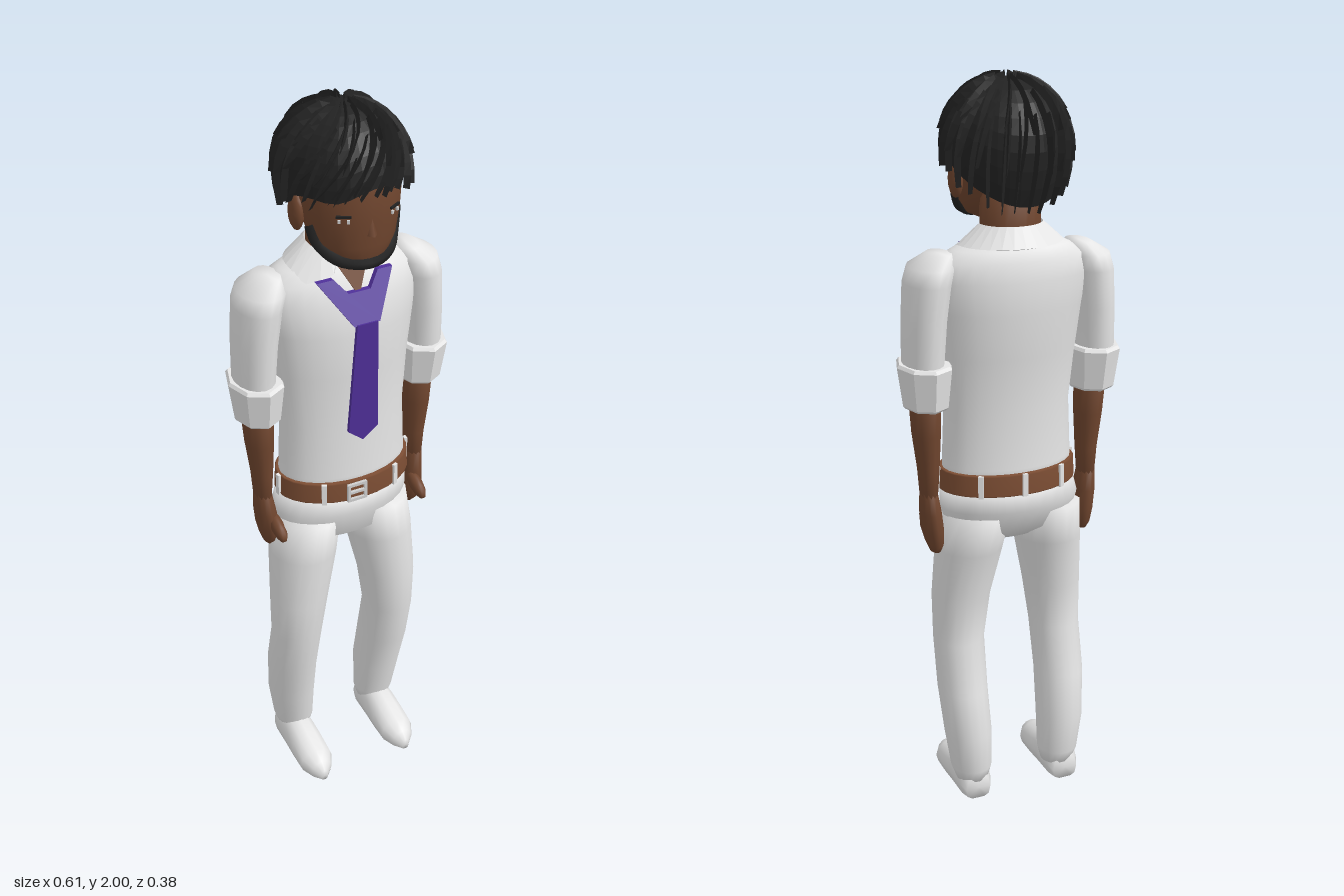
import * as THREE from 'three';

const mat = (name, color) => {
  const m = new THREE.MeshStandardMaterial({ color });
  m.name = name;
  return m;
};

// Closed surface through a list of rings of [x, y, z] points, capped at both ends
function skinRings(rings, flat = false) {
  const n = rings[0].length, pos = [], idx = [];
  rings.forEach(r => r.forEach(p => pos.push(...p)));
  const cap = (row, flip) => {
    const c = pos.length / 3, mid = [0, 0, 0];
    rings[row].forEach(p => p.forEach((v, k) => { mid[k] += v / n; }));
    pos.push(...mid);
    for (let j = 0; j < n; j++) {
      const a = row * n + j, b = row * n + (j + 1) % n;
      idx.push(c, flip ? b : a, flip ? a : b);
    }
  };
  for (let i = 0; i < rings.length - 1; i++) {
    for (let j = 0; j < n; j++) {
      const a = i * n + j, b = i * n + (j + 1) % n;
      idx.push(a, a + n, b, b, a + n, b + n);
    }
  }
  cap(0, false);
  cap(rings.length - 1, true);
  let g = new THREE.BufferGeometry();
  g.setAttribute('position', new THREE.Float32BufferAttribute(pos, 3));
  g.setIndex(idx);
  if (flat) g = g.toNonIndexed();
  g.computeVertexNormals();
  return g;
}

// Upright loft from elliptical sections [y, cx, cz, rx, rz], lowest first
function loft(sections, n = 20, flat = false) {
  return skinRings(sections.map(([y, cx, cz, rx, rz]) => Array.from({ length: n }, (_, j) => {
    const a = j / n * Math.PI * 2;
    return [cx + rx * Math.cos(a), y, cz + rz * Math.sin(a)];
  })), flat);
}

// Flat outline given thickness, its depth following a rule z(x, y)
function plate(points, depth, zRule) {
  const shape = new THREE.Shape(points.map(p => new THREE.Vector2(...p)));
  const g = new THREE.ExtrudeGeometry(shape, { depth, bevelEnabled: false });
  const p = g.attributes.position;
  for (let i = 0; i < p.count; i++) p.setZ(i, p.getZ(i) + zRule(p.getX(i), p.getY(i)));
  g.computeVertexNormals();
  return g;
}

// Hair volume: angle a from the front, polar angle t from the crown
function hairPoint(a, t, lift = 0) {
  const over = Math.max(0, t - Math.PI / 2);
  const r = over > 0 ? 1 - 0.3 * over * over : Math.sin(t);
  const y = over > 0 ? 1.82 - 0.18 * over : 1.82 + (0.165 + lift) * Math.cos(t);
  return [Math.sin(a) * r * (0.147 + lift), y, Math.cos(a) * r * (0.17 + lift)];
}
function hairHem(a) {
  const c = Math.cos(a), w = Math.atan2(Math.sin(a), c);
  return 1.8 - 0.41 * c + 0.08 * c * c + 0.16 * Math.exp(-(((w + 0.6) / 0.4) ** 2));
}
function strand(a0, t0, t1, width, swirl, lift) {
  const rings = [];
  for (let i = 0; i <= 5; i++) {
    const u = i / 5, t = t0 + (t1 - t0) * u, a = a0 + swirl * (u - 0.5);
    const w = width * (0.35 + 0.65 * Math.sin(Math.PI * Math.min(1, u * 0.75 + 0.15))) * (u > 0.9 ? 0.12 : 1);
    const da = w / Math.max(0.25, Math.sin(t)), out = lift * (0.3 + 0.7 * u);
    rings.push([hairPoint(a - da, t, out - 0.008), hairPoint(a, t, out + 0.009), hairPoint(a + da, t, out - 0.008)]);
  }
  return skinRings(rings, true);
}

export function createModel() {
  const root = new THREE.Group();
  const white = mat('white cloth', 0xe6e6e6), skin = mat('brown skin', 0x6f452e);
  const leather = mat('brown leather', 0x7d4e34), purple = mat('purple silk', 0x4f3099);
  const black = mat('black hair', 0x222222), metal = mat('pale metal', 0xcfcfcf);
  const add = (name, geo, m, parent = root) => {
    const mesh = new THREE.Mesh(geo, m);
    mesh.name = name;
    parent.add(mesh);
    return mesh;
  };

  // Shirt body
  add('shirt', loft([[0.93, 0, 0, 0.178, 0.115], [1.0, 0, 0, 0.178, 0.113], [1.15, 0, 0, 0.172, 0.105],
    [1.3, 0, -0.008, 0.185, 0.115], [1.42, 0, -0.012, 0.2, 0.125], [1.5, 0, -0.02, 0.215, 0.115],
    [1.55, 0, -0.025, 0.205, 0.1], [1.575, 0, -0.027, 0.155, 0.085], [1.6, 0, -0.027, 0.1, 0.074]], 28), white);

  // Folded collar, open at the front
  const collar = [];
  for (let i = 0; i <= 24; i++) {
    const a = 0.4 + (Math.PI * 2 - 0.8) * i / 24, s = Math.sin(a), c = Math.cos(a);
    const d = Math.min(a, Math.PI * 2 - a), tip = Math.exp(-(((d - 0.85) / 0.35) ** 2));
    const at = (rx, rz, y) => [s * rx, y, -0.027 + c * rz];
    collar.push([at(0.083, 0.072, 1.635 - 0.02 * Math.max(0, c)), at(0.085, 0.07, 1.575),
      at(0.138 + 0.02 * tip, 0.102 + 0.015 * tip, 1.585 - 0.025 * tip)]);
  }
  add('collar', skinRings(collar, true), white);
  add('openNeck', plate([[-0.045, 1.605], [0, 1.52], [0.045, 1.605]], 0.006,
    (x, y) => 0.1 - (y - 1.5) * 0.45 - x * x * 2), skin);

  // Tie
  add('tieKnot', plate([[-0.105, 1.57], [-0.035, 1.465], [0.035, 1.465], [0.1, 1.57], [0.06, 1.57],
    [0.03, 1.535], [-0.03, 1.535], [-0.06, 1.57]], 0.014, (x, y) => 0.126 - (y - 1.465) * 0.6), purple);
  add('tieBlade', plate([[-0.028, 1.468], [-0.042, 1.15], [0, 1.115], [0.042, 1.15], [0.028, 1.468]], 0.01,
    (x, y) => 0.113 + (y - 1.115) * 0.055), purple);

  // Belt, loops and buckle
  add('belt', loft([[0.932, 0, 0, 0.189, 0.126], [0.935, 0, 0, 0.19, 0.128], [0.987, 0, 0, 0.187, 0.126],
    [0.99, 0, 0, 0.184, 0.123]], 28), leather);
  for (const a of [-0.58, 0.58, -1.5, 1.5, -2.5, 2.5, Math.PI]) {
    const loop = add('beltLoop', new THREE.BoxGeometry(0.014, 0.062, 0.008), white);
    loop.position.set(0.19 * Math.sin(a), 0.961, 0.128 * Math.cos(a));
    loop.rotation.y = Math.atan2(Math.sin(a) / 0.19, Math.cos(a) / 0.128);
  }
  const buckle = new THREE.Group();
  buckle.name = 'buckle';
  buckle.position.set(-0.02, 0.961, 0.13);
  root.add(buckle);
  for (const s of [-1, 1]) {
    add('buckleRail', new THREE.BoxGeometry(0.055, 0.008, 0.008), metal, buckle).position.y = s * 0.023;
    add('buckleSide', new THREE.BoxGeometry(0.008, 0.05, 0.008), metal, buckle).position.x = s * 0.024;
  }
  add('bucklePin', new THREE.BoxGeometry(0.045, 0.007, 0.008), metal, buckle);

  // Trouser seat
  add('trouserSeat', loft([[0.775, -0.01, 0.015, 0.1, 0.05], [0.81, -0.01, 0.012, 0.175, 0.095],
    [0.88, -0.007, 0, 0.194, 0.118], [0.945, 0, 0, 0.184, 0.12]], 28), white);

  for (const s of [1, -1]) {
    const side = s > 0 ? 'left' : 'right';
    // Section centres measured out from a middle line
    const limb = (mid, rows, n, flat) => loft(rows.map(([y, x, z, rx, rz]) => [y, mid + s * x, z, rx, rz]), n, flat);

    // Legs and shoes
    add(side + 'TrouserLeg', limb(-0.015, [[0.05, 0.13, -0.025, 0.045, 0.045], [0.09, 0.133, -0.025, 0.057, 0.06],
      [0.2, 0.14, -0.02, 0.065, 0.075], [0.33, 0.146, 0.004, 0.068, 0.08], [0.47, 0.144, 0.035, 0.07, 0.075],
      [0.6, 0.135, 0.037, 0.08, 0.084], [0.75, 0.115, 0.023, 0.092, 0.1], [0.86, 0.1, 0.008, 0.094, 0.112]], 18), white);
    const shoe = [[0.195, 0.01, 0.035], [0.175, 0.032, 0.055], [0.14, 0.05, 0.07], [0.08, 0.051, 0.085],
      [0.03, 0.049, 0.1], [-0.045, 0.047, 0.1], [-0.07, 0.036, 0.075]];
    add(side + 'Shoe', skinRings(shoe.map(([z, rx, h]) => Array.from({ length: 12 }, (_, j) => {
      const a = j / 12 * Math.PI * 2;
      return [-0.02 + s * 0.134 + rx * Math.cos(a), Math.max(0, h * (0.4 + 0.6 * Math.sin(a))), z];
    }))), white);

    // Sleeves and rolled cuffs
    add(side + 'Sleeve', limb(0, [[1.2, 0.236, -0.02, 0.05, 0.065], [1.29, 0.237, -0.02, 0.052, 0.075],
      [1.4, 0.232, -0.02, 0.055, 0.082], [1.5, 0.222, -0.02, 0.059, 0.088], [1.54, 0.21, -0.02, 0.06, 0.08],
      [1.57, 0.19, -0.022, 0.03, 0.05]], 16), white);
    add(side + 'Cuff', limb(0, [[1.175, 0.231, -0.02, 0.055, 0.07], [1.182, 0.232, -0.02, 0.06, 0.078],
      [1.285, 0.234, -0.02, 0.072, 0.095], [1.293, 0.234, -0.02, 0.066, 0.088]], 8, true), white);

    // Forearms and hands
    add(side + 'Forearm', limb(0, [[0.92, 0.226, -0.015, 0.022, 0.034], [1.0, 0.226, -0.015, 0.028, 0.038],
      [1.1, 0.23, -0.015, 0.037, 0.046], [1.2, 0.233, -0.017, 0.041, 0.052]], 14), skin);
    add(side + 'Hand', limb(0, [[0.768, 0.212, -0.018, 0.014, 0.025], [0.79, 0.213, -0.015, 0.022, 0.043],
      [0.83, 0.217, -0.01, 0.028, 0.052], [0.88, 0.222, -0.014, 0.027, 0.046], [0.94, 0.227, -0.015, 0.022, 0.033]], 12), skin);
    const thumb = add(side + 'Thumb', new THREE.SphereGeometry(1, 10, 8), skin);
    thumb.scale.set(0.018, 0.022, 0.05);
    thumb.position.set(s * 0.21, 0.848, 0.042);
    thumb.rotation.x = 0.4;

    // Ears and eyes
    const ear = add(side + 'Ear', new THREE.SphereGeometry(1, 12, 8), skin);
    ear.scale.set(0.018, 0.048, 0.028);
    ear.position.set(s * 0.128, 1.742, 0.018);
    const eye = new THREE.Group();
    eye.name = side + 'Eye';
    eye.position.set(s * 0.067, 1.755, 0.143);
    eye.rotation.y = s * 0.53;
    root.add(eye);
    add('eyeLash', new THREE.BoxGeometry(0.036, 0.005, 0.006), black, eye).position.y = 0.012;
    for (const k of [-1, 1]) add('eyeWhite', new THREE.BoxGeometry(0.007, 0.008, 0.005), metal, eye).position.x = k * 0.011;
  }

  // Neck and head
  add('neck', loft([[1.55, 0, -0.027, 0.08, 0.068], [1.62, 0, -0.027, 0.078, 0.066], [1.73, 0, -0.02, 0.08, 0.07]], 18), skin);
  add('head', loft([[1.625, 0, 0.1, 0.04, 0.035], [1.64, 0, 0.082, 0.072, 0.067], [1.68, 0, 0.055, 0.105, 0.1],
    [1.74, 0, 0.038, 0.121, 0.121], [1.82, 0, 0.028, 0.13, 0.132], [1.9, 0, 0.015, 0.115, 0.12],
    [1.95, 0, 0.01, 0.07, 0.08]], 24), skin);
  const nose = add('nose', new THREE.ConeGeometry(0.013, 0.045, 4), skin);
  nose.position.set(0, 1.735, 0.158);

  // Beard along the jaw
  const jaw = [[-0.112, 1.725, 0.06], [-0.1, 1.68, 0.075], [-0.065, 1.645, 0.117], [0, 1.636, 0.143],
    [0.065, 1.645, 0.117], [0.1, 1.68, 0.075], [0.112, 1.725, 0.06]].map(p => new THREE.Vector3(...p));
  add('beard', new THREE.TubeGeometry(new THREE.CatmullRomCurve3(jaw), 24, 0.017, 6), black);

  // Hair cap with overlapping locks
  const hair = new THREE.Group();
  hair.name = 'hair';
  root.add(hair);
  const cap = [];
  for (let i = 0; i <= 9; i++) {
    cap.push(Array.from({ length: 32 }, (_, j) => {
      const a = j / 32 * Math.PI * 2;
      return hairPoint(a, 0.05 + (hairHem(a) - 0.05) * i / 9);
    }));
  }
  add('hairCap', skinRings(cap, true), black, hair);
  let seed = 7;
  const rand = () => (seed = (seed * 16807) % 2147483647) / 2147483647;
  for (const [count, t0, reach, width, lift] of [[24, 0.9, 1.04, 0.032, 0.008], [19, 0.5, 0.82, 0.034, 0.012], [14, 0.06, 0.58, 0.034, 0.01]]) {
    for (let k = 0; k < count; k++) {
      const a = (k + 0.4 * rand()) / count * Math.PI * 2;
      const swirl = -0.35 * Math.max(0, Math.cos(a)) - 0.25 * rand();
      add('lock', strand(a, t0 + 0.15 * rand(), hairHem(a) * reach + 0.12 * (rand() - 0.4), width, swirl, lift + 0.005 * rand()), black, hair);
    }
  }
  // Fringe swept to one side
  for (let k = 0; k < 6; k++) {
    add('fringeLock', strand(0.55 - k * 0.22, 0.75, 1.52 + 0.03 * k, 0.032, -0.75, 0.016), black, hair);
  }
  return root;
}
